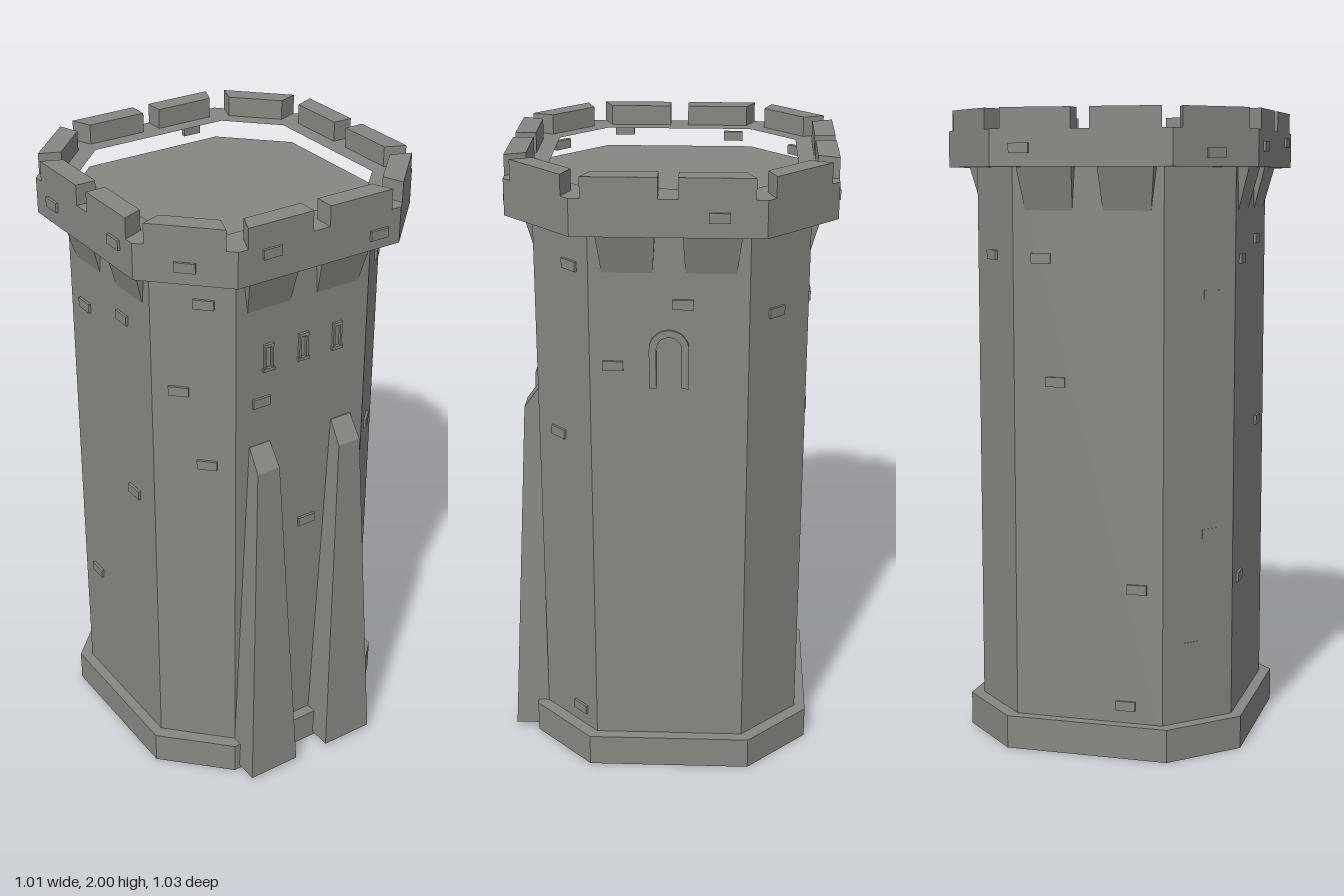
import * as THREE from 'three';
import { ConvexGeometry } from 'three/addons/geometries/ConvexGeometry.js';

const V = (x, y, z) => new THREE.Vector3(x, y, z);

// square with cut corners: r = half width, f = half length of the main sides
const octagon = (r, f) => [[f, r], [r, f], [r, -f], [f, -r], [-f, -r], [-r, -f], [-r, f], [-f, r]];

export function createModel() {
  const model = new THREE.Group();
  const tower = new THREE.Group();
  tower.name = 'tower';
  tower.position.z = -0.0145;
  model.add(tower);
  const stone = new THREE.MeshStandardMaterial({ color: 0x858882 });
  stone.name = 'grey stone';

  const add = (parent, name, geometry) => {
    const mesh = new THREE.Mesh(geometry, stone);
    mesh.name = name;
    parent.add(mesh);
    return mesh;
  };
  const hull = (parent, name, points) => add(parent, name, new ConvexGeometry(points));
  const box = (parent, name, w, h, d, x, y, z) =>
    add(parent, name, new THREE.BoxGeometry(w, h, d)).position.set(x, y, z);
  const prism = (name, r, f, y0, y1) =>
    hull(tower, name, octagon(r, f).flatMap(([x, z]) => [V(x, y0, z), V(x, y1, z)]));

  // one group per side of an octagon; local z = 0 lies on its surface
  const sides = (name, r, f) => Array.from({ length: 8 }, (_, k) => {
    const g = new THREE.Group();
    const a = k * Math.PI / 4, d = k % 2 ? (r + f) / Math.SQRT2 : r;
    g.name = name + k;
    g.rotation.y = a;
    g.position.set(Math.sin(a) * d, 0, Math.cos(a) * d);
    tower.add(g);
    return g;
  });
  const walls = sides('wallSide', 0.418, 0.238);
  const crowns = sides('crownSide', 0.495, 0.283);

  // plinth, and shaft whose top is the roof floor
  prism('plinth', 0.453, 0.26, 0, 0.105);
  prism('shaft', 0.418, 0.238, 0.05, 1.87);

  // parapet ring
  const ring = new THREE.Shape(octagon(0.495, 0.283).map(p => new THREE.Vector2(...p)));
  ring.holes.push(new THREE.Path(octagon(0.38, 0.235).map(p => new THREE.Vector2(...p))));
  const ringGeo = new THREE.ExtrudeGeometry(ring, { depth: 0.112, bevelEnabled: false });
  add(tower, 'parapet', ringGeo.rotateX(-Math.PI / 2)).position.y = 1.825;

  // merlons: outer edge a0..a1, inner edge b0..b1
  const merlon = (side, a0, a1, b0, b1) => hull(side, 'merlon', [1.93, 2].flatMap(y =>
    [V(a0, y, 0), V(a1, y, 0), V(b0, y, -0.064), V(b1, y, -0.064)]));
  crowns.forEach((side, k) => {
    if (k % 2) merlon(side, -0.117, 0.117, -0.088, 0.088);
    else for (const s of [-1, 1]) merlon(side, s * 0.029, s * 0.25, s * 0.029, s * 0.223);
  });

  // wedge corbels under the parapet on the four main sides
  for (const k of [0, 2, 4, 6]) for (const s of [-1, 1]) {
    hull(walls[k], 'corbel', [
      V(s * 0.04, 1.83, 0.036), V(s * 0.215, 1.83, 0.036), V(s * 0.04, 1.83, -0.01), V(s * 0.215, 1.83, -0.01),
      V(s * 0.048, 1.695, 0), V(s * 0.198, 1.695, 0), V(s * 0.048, 1.695, -0.01), V(s * 0.198, 1.695, -0.01)]);
  }

  // tapering front buttresses: [y, half width, projection]
  for (const s of [-1, 1]) {
    hull(walls[0], 'buttress', [[0.015, 0.09, 0.112], [1.17, 0.04, 0.052], [1.24, 0.037, 0.002]]
      .flatMap(([y, w, z]) => [-w, w].flatMap(x => [V(s * 0.152 + x, y, z), V(s * 0.152 + x, y, -0.02)])));
  }

  // three narrow framed slits on the front
  for (const x of [-0.125, 0, 0.125]) {
    box(walls[0], 'slitSill', 0.04, 0.01, 0.02, x, 1.493, 0);
    box(walls[0], 'slitLintel', 0.034, 0.01, 0.018, x, 1.572, 0);
    for (const s of [-1, 1]) box(walls[0], 'slitJamb', 0.007, 0.08, 0.016, x + s * 0.0125, 1.533, 0);
  }

  // arched frame on the left side
  const arch = new THREE.Shape();
  arch.moveTo(0.06, 1.335).lineTo(0.06, 1.46).absarc(0, 1.46, 0.06, 0, Math.PI, false);
  arch.lineTo(-0.06, 1.335).lineTo(-0.038, 1.335).lineTo(-0.038, 1.46);
  arch.absarc(0, 1.46, 0.038, Math.PI, 0, true).lineTo(0.038, 1.335);
  const archGeo = new THREE.ExtrudeGeometry(arch, { depth: 0.012, bevelEnabled: false, curveSegments: 8 });
  add(walls[2], 'archFrame', archGeo).position.z = -0.004;

  // raised bricks: [side, across, height]
  const bricks = (group, list) => list.forEach(([k, u, y]) =>
    box(group[k], 'brick', 0.062, 0.03, 0.016, u, y, 0));
  bricks(walls, [
    [0, 0.03, 0.9], [0, -0.148, 1.387], [1, 0.045, 1.7], [1, -0.025, 1.14], [1, 0.05, 0.165],
    [2, -0.168, 1.405], [2, 0.042, 1.6], [3, -0.016, 1.555],
    [4, -0.148, 1.55], [4, -0.104, 1.172], [4, 0.156, 0.535], [4, 0.12, 0.16],
    [6, 0.12, 1.003], [6, -0.15, 1.545], [6, 0.08, 1.6], [6, -0.15, 0.535],
    [7, 0.033, 1.725], [7, -0.045, 1.433], [7, 0.04, 1.185]]);
  bricks(crowns, [
    [0, -0.17, 1.91], [0, 0.205, 1.872], [2, 0.147, 1.885], [4, -0.19, 1.88],
    [5, 0, 1.865], [6, -0.18, 1.887], [6, 0.185, 1.905], [7, 0, 1.878]]);

  // nearly flush bricks on the rear diagonal
  for (const [u, y] of [[0.045, 1.44], [0.045, 0.7], [-0.025, 0.345]])
    box(walls[5], 'flushBrick', 0.062, 0.03, 0.004, u, y, 0);

  return model;
}
